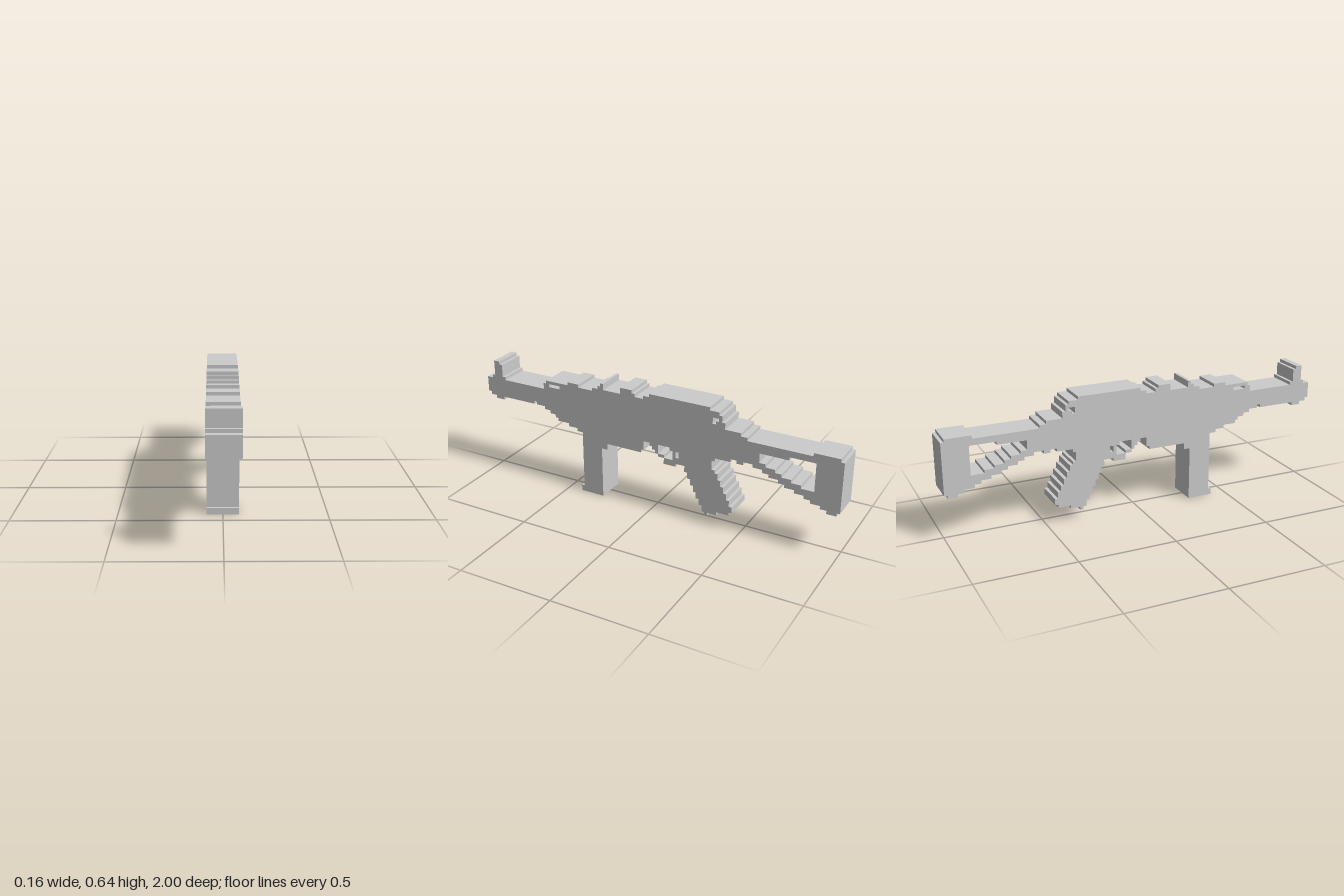
import * as THREE from 'three';

const CELL = 2 / 121;    // one step of the blocky outline
const WIDTH = 0.155;

// Turns [start, level] pairs into staircase points that finish at `end`
function stairs(steps, end) {
  return steps.flatMap(([a, level], i) => {
    const b = i + 1 < steps.length ? steps[i + 1][0] : end;
    return [[a, level], [b, level]];
  });
}

// Closed outline between an upper and a lower staircase
function outline(upper, lower, end) {
  return [...stairs(upper, end), ...stairs(lower, end).reverse()];
}

// Cells run from the muzzle backwards and from the ground up
const toPoints = (cells) => cells.map(([u, v]) => new THREE.Vector2(1 - u * CELL, v * CELL));

const material = new THREE.MeshStandardMaterial({ color: 0xcccccc, flatShading: true });

function slab(name, cells, holes = []) {
  const shape = new THREE.Shape(toPoints(cells));
  holes.forEach((h) => shape.holes.push(new THREE.Path(toPoints(h))));
  const geometry = new THREE.ExtrudeGeometry(shape, { depth: WIDTH, bevelEnabled: false });
  geometry.translate(0, 0, -WIDTH / 2);
  geometry.rotateY(-Math.PI / 2);
  const mesh = new THREE.Mesh(geometry, material);
  mesh.name = name;
  return mesh;
}

export function createModel() {
  const model = new THREE.Group();
  model.name = 'blockyRifle';

  // Barrel with raised front sight
  model.add(slab('barrel', outline(
    [[0, 33], [2, 34], [3, 39], [5, 38], [6, 34], [7, 33]],
    [[0, 28], [1, 27], [3, 26], [6, 27], [18, 28], [19, 27]], 22)));

  // Receiver with handguard, rail, cover and rear sight
  model.add(slab('receiver', outline(
    [[22, 35], [23, 36], [31, 37], [35, 36], [40, 37], [42, 38], [43, 39], [44, 37], [50, 39],
      [54, 38], [55, 37], [58, 38], [60, 39], [80, 38], [83, 37], [84, 35], [85, 33]],
    [[22, 26], [24, 25], [26, 24], [27, 23], [31, 22], [34, 21], [43, 17], [45, 19], [57, 20],
      [58, 25], [71, 23], [87, 24], [89, 23]], 90),
  [
    outline([[24, 35]], [[24, 34]], 28),
    outline([[81, 36]], [[81, 34], [82, 35]], 83),
  ]));

  // Magazine with a small lip at the front of its foot
  model.add(slab('magazine', outline([[35, 2], [36, 21]], [[35, 0]], 43)));

  // Trigger guard, with the trigger left standing between two openings
  model.add(slab('triggerGuard', outline(
    [[58, 25]],
    [[58, 23], [60, 22], [61, 21], [62, 20], [63, 19], [65, 17], [69, 18]], 71),
  [
    outline([[63, 23], [67, 22]], [[63, 20], [65, 19]], 68),
    outline([[69, 22]], [[69, 20]], 70),
  ]));

  // Raked pistol grip, stepped row by row from the bottom up
  const gripFront = [[3, 79]];
  for (let v = 4; v < 18; v += 2) gripFront.push([v, 78 - (v - 4) / 2]);
  gripFront.push([18, 71]);
  const gripBack = [[3, 80], [4, 83], [5, 87], [6, 88]];
  for (let v = 8; v < 18; v += 2) gripBack.push([v, 87 - (v - 8) / 2]);
  gripBack.push([18, 82], [19, 81], [22, 82]);
  model.add(slab('grip', outline(gripBack, gripFront, 23).map(([v, u]) => [u, v])));

  // Skeleton stock: top bar, sloping strut and butt plate around one opening
  const strut = [];
  for (let i = 0; i < 10; i++) strut.push([94 + Math.round(2.6 * i), 23 - i]);
  model.add(slab('stock', outline(
    [[90, 32], [92, 31], [112, 32], [120, 31]],
    [[90, 23], [91, 24], ...strut, [120, 15]], 121),
  [outline(
    [[96, 28], [105, 29]],
    [[96, 25], [98, 24], [101, 23], [103, 22], [106, 21], [109, 20]], 113)]));

  return model;
}
